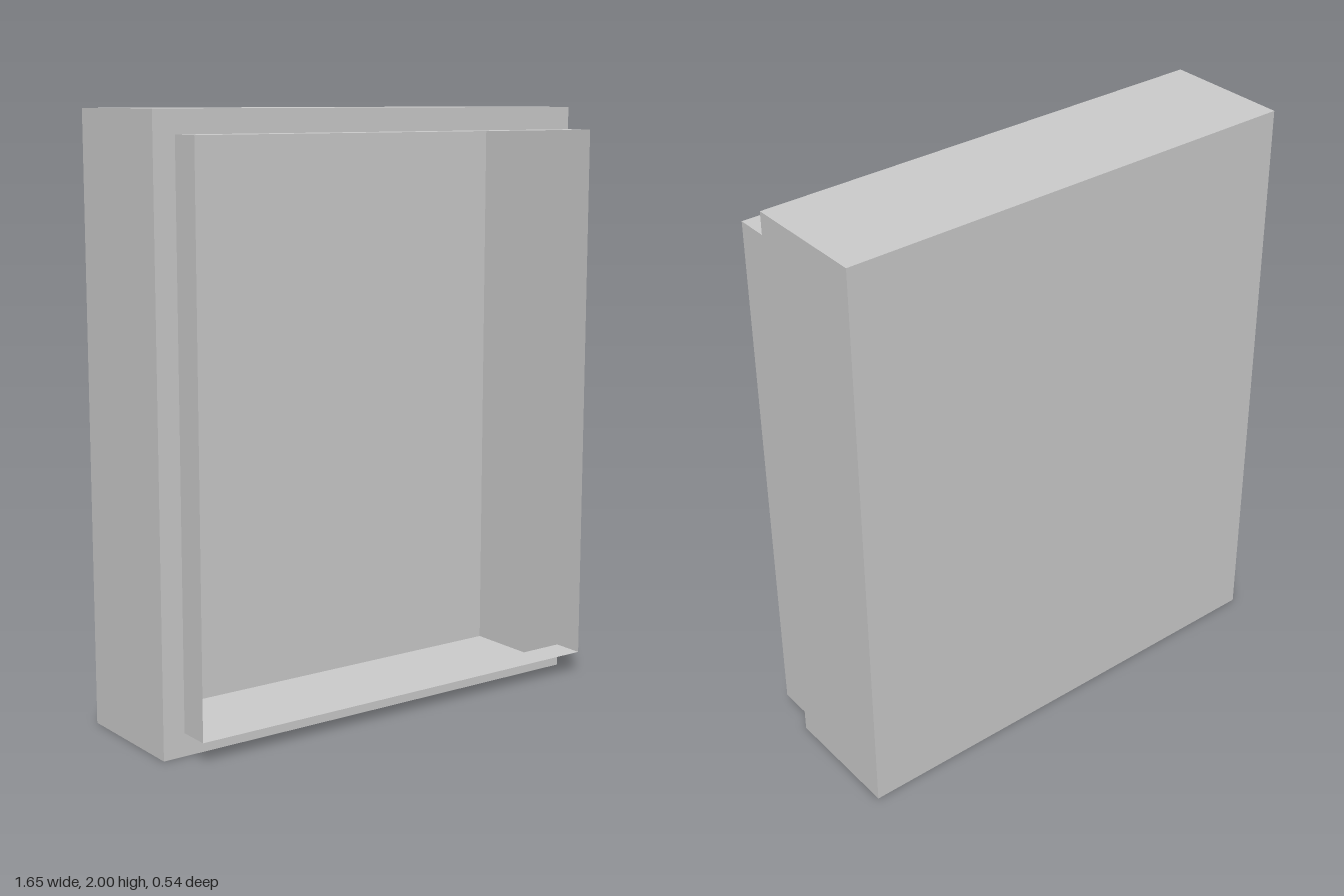
import * as THREE from 'three';

const HALF_W = 0.823, HEIGHT = 2, BACK = -0.272, STEP = 0.162, FRONT = 0.272, INSET = 0.076;

// Corners of the three-sided wall run (top, left, bottom) at a given inset and depth
const ring = (inset, z) => [
  [HALF_W, HEIGHT - inset, z],
  [-HALF_W + inset, HEIGHT - inset, z],
  [-HALF_W + inset, inset, z],
  [HALF_W, inset, z],
];

// Thin flat-faced strip joining two rings
function strip(from, to) {
  const pos = [];
  for (let j = 0; j < from.length - 1; j++) {
    const a = from[j], b = from[j + 1], c = to[j + 1], d = to[j];
    pos.push(...a, ...b, ...c, ...a, ...c, ...d);
  }
  const geo = new THREE.BufferGeometry();
  geo.setAttribute('position', new THREE.Float32BufferAttribute(pos, 3));
  geo.computeVertexNormals();
  return geo;
}

export function createModel() {
  const group = new THREE.Group();
  group.name = 'openTray';
  const material = new THREE.MeshStandardMaterial({ color: 0xcccccc, side: THREE.DoubleSide, flatShading: true });
  const add = (name, geo) => {
    const mesh = new THREE.Mesh(geo, material);
    mesh.name = name;
    group.add(mesh);
    return mesh;
  };

  // Back panel
  const back = add('backPanel', new THREE.PlaneGeometry(HALF_W * 2, HEIGHT));
  back.rotation.y = Math.PI;
  back.position.set(0, HEIGHT / 2, BACK);

  // Stepped walls: outer case, front-facing rebate, inset lip
  const rings = [ring(0, BACK), ring(0, STEP), ring(INSET, STEP), ring(INSET, FRONT)];
  ['outerWalls', 'rebate', 'frontLip'].forEach((name, k) => add(name, strip(rings[k], rings[k + 1])));

  // Flush side wall with notched front corners
  const profile = new THREE.Shape([
    [BACK, 0], [STEP, 0], [STEP, INSET], [FRONT, INSET],
    [FRONT, HEIGHT - INSET], [STEP, HEIGHT - INSET], [STEP, HEIGHT], [BACK, HEIGHT],
  ].map(([z, y]) => new THREE.Vector2(-z, y)));
  const side = add('flushSideWall', new THREE.ShapeGeometry(profile));
  side.rotation.y = Math.PI / 2;
  side.position.x = HALF_W;

  return group;
}
